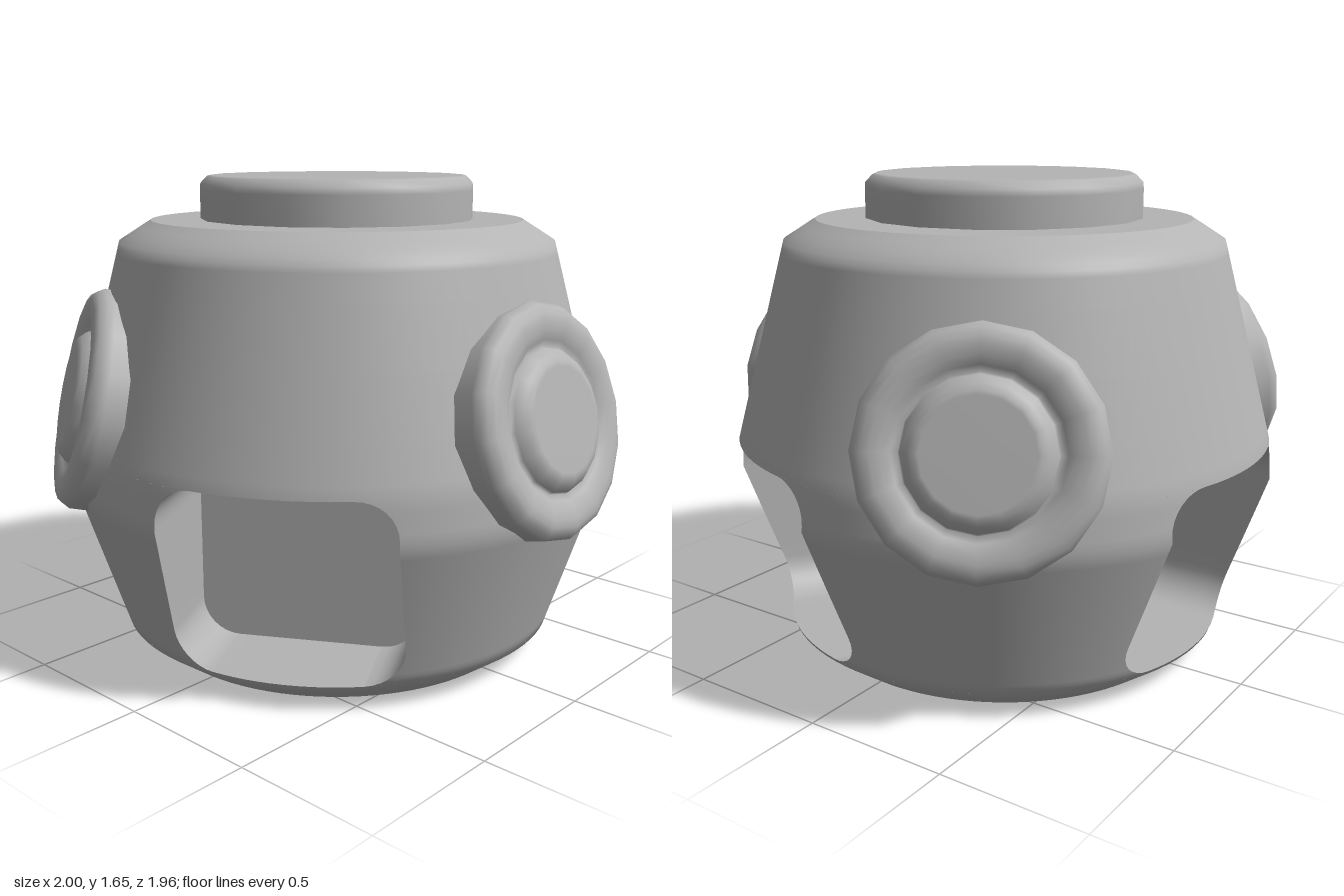
import * as THREE from 'three';

const AXIS_Z = -0.04;
// body wall profile: [radius, height]
const PROFILE = [[0.67, 0], [0.78, 0.08], [0.95, 0.6], [0.94, 0.75], [0.76, 1.43], [0.65, 1.5]];
// recess opening: half width, bottom, top, corner radius, depth of its back wall from the axis
const HALF = 0.38, LOW = 0.09, HIGH = 0.75, CORNER = 0.13, BACK = 0.44;
const THIRD = Math.PI * 2 / 3;

function radiusAt(y) {
  y = Math.min(1.5, Math.max(0, y));
  let i = 0;
  while (i < PROFILE.length - 2 && y > PROFILE[i + 1][1]) i++;
  const [r0, y0] = PROFILE[i], [r1, y1] = PROFILE[i + 1];
  return r0 + (r1 - r0) * (y - y0) / (y1 - y0);
}

// half width of the recess opening at a height
function halfWidth(y) {
  const d = Math.min(y - LOW, HIGH - y);
  if (d >= CORNER) return HALF;
  return HALF - CORNER + Math.sqrt(Math.max(0, CORNER ** 2 - (CORNER - d) ** 2));
}

// surface from rows and columns of points; normals are given or computed
function grid(rows, cols, point, normal) {
  const pos = [], nor = [], index = [];
  for (let i = 0; i <= rows; i++) {
    for (let j = 0; j <= cols; j++) {
      pos.push(...point(i, j));
      if (normal) nor.push(...normal(i, j));
      if (i < rows && j < cols) {
        const a = i * (cols + 1) + j, d = a + cols + 1;
        index.push(a, a + 1, d + 1, a, d + 1, d);
      }
    }
  }
  const g = new THREE.BufferGeometry();
  g.setAttribute('position', new THREE.Float32BufferAttribute(pos, 3));
  g.setIndex(index);
  if (normal) g.setAttribute('normal', new THREE.Float32BufferAttribute(nor, 3));
  else g.computeVertexNormals();
  return g;
}

// part of the round wall between two angles, which may vary with height
function wall(heights, from, to, cols) {
  const angle = (i, j) => {
    const a = from(heights[i]), b = to(heights[i]);
    return a + (b - a) * j / cols;
  };
  return grid(heights.length - 1, cols, (i, j) => {
    const r = radiusAt(heights[i]), t = angle(i, j);
    return [r * Math.sin(t), heights[i], r * Math.cos(t)];
  }, (i, j) => {
    const y = heights[i], t = angle(i, j);
    const lo = Math.max(0, y - 0.04), hi = Math.min(1.5, y + 0.04);
    const slope = (radiusAt(hi) - radiusAt(lo)) / (hi - lo);
    const n = new THREE.Vector3(Math.sin(t), -slope, Math.cos(t)).normalize();
    return [n.x, n.y, n.z];
  });
}

function lathe(profile, segments) {
  return new THREE.LatheGeometry(profile.map(([r, y]) => new THREE.Vector2(r, y)), segments);
}

export function createModel() {
  const model = new THREE.Group();
  model.name = 'portholePod';
  const grey = new THREE.MeshStandardMaterial({ color: 0xb4b4b4 });
  grey.name = 'plainGrey';
  const add = (parent, geometry, name) => {
    const mesh = new THREE.Mesh(geometry, grey);
    mesh.name = name;
    parent.add(mesh);
    return mesh;
  };
  const hub = new THREE.Group();
  hub.name = 'pod';
  hub.position.z = AXIS_Z;
  model.add(hub);

  // heights through the recess opening, dense at its rounded corners
  const opening = [];
  for (let i = 0; i <= 8; i++) opening.push(LOW + CORNER * (1 - Math.cos(i * Math.PI / 16)));
  opening.push(0.3, 0.4, 0.5, 0.56, 0.6);
  for (let i = 0; i <= 8; i++) opening.push(HIGH - CORNER * (1 - Math.sin(i * Math.PI / 16)));

  // closed wall below and above the recesses
  const zero = () => 0, full = () => Math.PI * 2;
  add(hub, wall([0, 0.02, 0.04, 0.06, 0.08, LOW], zero, full, 96), 'lowerWall');
  add(hub, wall([HIGH, 0.79, 0.9, 1.1, 1.3, 1.39, 1.41, 1.43, 1.45, 1.475, 1.5], zero, full, 96), 'upperWall');
  add(hub, new THREE.CircleGeometry(0.65, 96).rotateX(-Math.PI / 2), 'roof').position.y = 1.5;
  add(hub, new THREE.CircleGeometry(0.67, 96).rotateX(Math.PI / 2), 'base');

  // recess outline, anticlockwise from outside
  const outline = [];
  const flat = HALF - CORNER;
  for (const y of opening) outline.push([halfWidth(y), y]);
  for (let i = 1; i < 8; i++) outline.push([flat - 2 * flat * i / 8, HIGH]);
  for (const y of [...opening].reverse()) outline.push([-halfWidth(y), y]);
  for (let i = 1; i <= 8; i++) outline.push([-flat + 2 * flat * i / 8, LOW]);

  const recessSides = grid(4, outline.length - 1, (i, j) => {
    const [x, y] = outline[j];
    const outer = Math.sqrt(radiusAt(y) ** 2 - x * x);
    return [x, y, outer + (BACK - outer) * i / 4];
  });
  const recessBack = new THREE.ShapeGeometry(
    new THREE.Shape(outline.slice(0, -1).map(([x, y]) => new THREE.Vector2(x, y))));

  // porthole: rounded ring around a raised bevelled disc
  const porthole = lathe([
    [0.38, -0.16], [0.38, -0.06], [0.38, -0.04], [0.365, -0.015], [0.34, -0.002], [0.315, 0],
    [0.285, -0.003], [0.255, -0.015], [0.235, -0.03], [0.228, -0.015], [0.205, 0.008],
    [0.185, 0.018], [0.17, 0.02], [0, 0.02]], 16);
  const tilt = THREE.MathUtils.degToRad(13.3);

  for (let k = 0; k < 3; k++) {
    const centre = THIRD * (k + 0.5);
    const edge = (y) => Math.asin(halfWidth(y) / radiusAt(y));
    add(hub, wall(opening, (y) => centre + edge(y), (y) => centre + THIRD - edge(y), 28), 'wallBetweenRecesses');

    const recess = new THREE.Group();
    recess.name = 'recess';
    recess.rotation.y = centre;
    add(recess, recessSides, 'recessSides');
    add(recess, recessBack, 'recessBack').position.z = BACK;
    hub.add(recess);

    const mount = new THREE.Group();
    mount.name = 'portholeMount';
    mount.rotation.y = THIRD * k;
    const ring = add(mount, porthole, 'porthole');
    ring.position.set(0, 0.92, 0.944);
    ring.rotation.x = Math.PI / 2 - tilt;
    hub.add(mount);
  }

  // bevelled cap on the roof
  add(hub, lathe([[0.48, 1.48], [0.48, 1.6], [0.478, 1.622], [0.455, 1.646], [0.44, 1.65], [0, 1.65]], 16), 'cap');
  return model;
}
